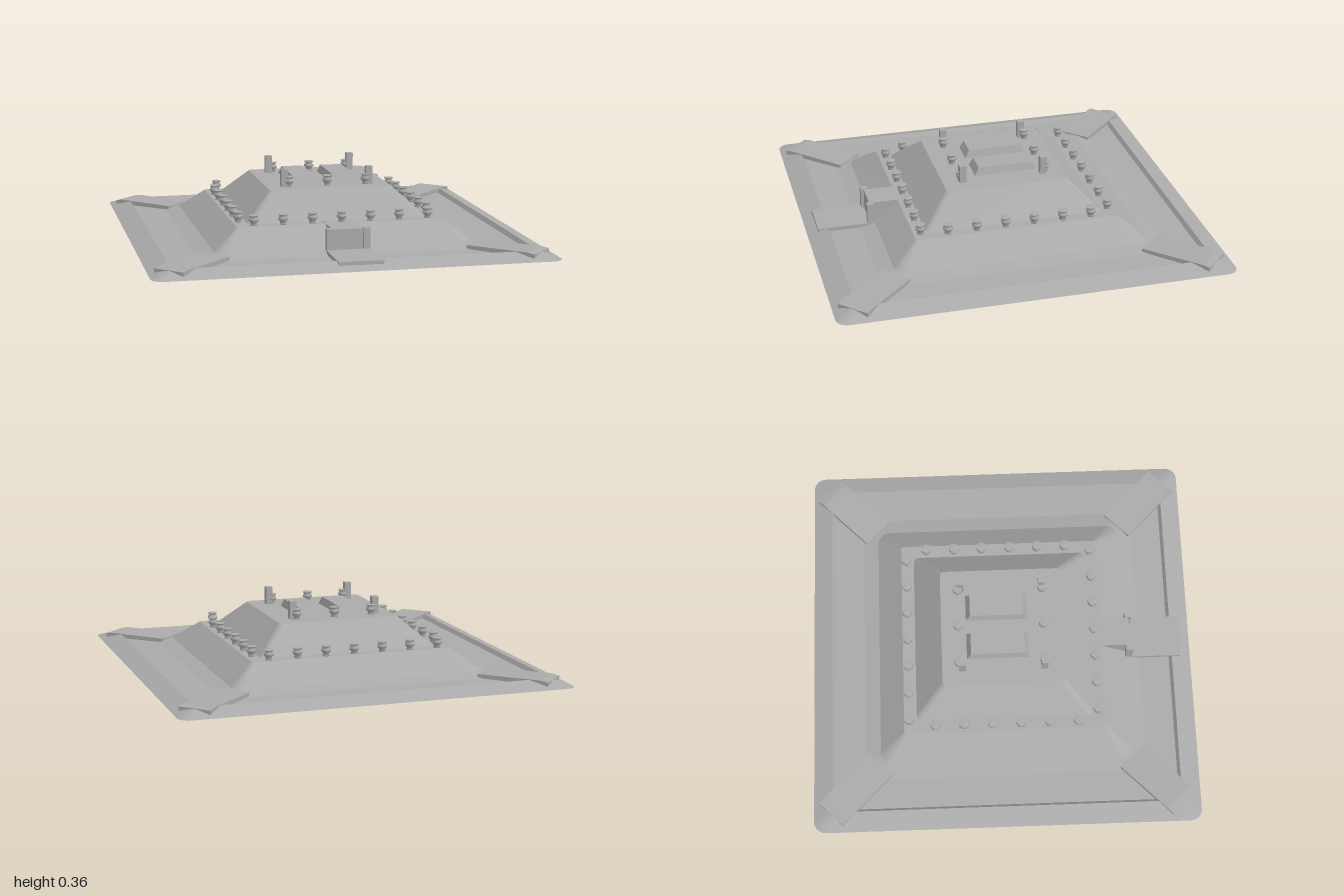
import * as THREE from 'three';

const stone = new THREE.MeshStandardMaterial({ color: 0xaaaaaa, side: THREE.DoubleSide });
stone.name = 'grey stone';
const earth = new THREE.MeshStandardMaterial({ color: 0x625c50, side: THREE.DoubleSide });
earth.name = 'dark earth';

// Rounded square outline: half width h, height y, corner radius r
const SEG = 5;
function outline([h, y, r]) {
  const pts = [];
  for (let q = 0; q < 4; q++) {
    const mid = (q + 0.5) * Math.PI / 2;
    const cx = Math.sign(Math.cos(mid)) * (h - r), cz = Math.sign(Math.sin(mid)) * (h - r);
    for (let i = 0; i <= SEG; i++) {
      const a = (q + i / SEG) * Math.PI / 2;
      pts.push([cx + r * Math.cos(a), y, cz + r * Math.sin(a)]);
    }
  }
  return pts;
}

// Sloping or flat band between two outlines (outer first)
function band(outer, inner) {
  const a = outline(outer), b = outline(inner), n = a.length, idx = [];
  for (let i = 0; i < n; i++) {
    const j = (i + 1) % n;
    idx.push(i, n + i, j, j, n + i, n + j);
  }
  const g = new THREE.BufferGeometry();
  g.setAttribute('position', new THREE.Float32BufferAttribute([...a, ...b].flat(), 3));
  g.setIndex(idx);
  g.computeVertexNormals();
  return g;
}

function add(parent, name, geo, x = 0, y = 0, z = 0, mat = stone) {
  const m = new THREE.Mesh(geo, mat);
  m.name = name;
  m.position.set(x, y, z);
  parent.add(m);
  return m;
}

function box(parent, name, x0, x1, y0, y1, z0, z1) {
  return add(parent, name, new THREE.BoxGeometry(x1 - x0, y1 - y0, z1 - z0),
    (x0 + x1) / 2, (y0 + y1) / 2, (z0 + z1) / 2);
}

export function createModel() {
  const model = new THREE.Group();
  model.name = 'steppedFort';

  // Open shell: bank, ditch, lower wall, terrace, upper wall, roof
  const levels = [
    [1, 0, 0.06], [0.9, 0.035, 0.015], [0.885, 0.014, 0.012], [0.73, 0.016, 0.06],
    [0.65, 0.035, 0.06], [0.522, 0.135, 0.012], [0.456, 0.135, 0.03], [0.315, 0.272, 0.025], [0.03, 0.272, 0.025],
  ];
  const names = ['outerBank', 'ditchEdge', 'ditchFloor', 'wallFoot', 'lowerWall', 'terrace', 'upperWall', 'roof'];
  names.forEach((name, i) => add(model, name, band(levels[i], levels[i + 1])));
  box(model, 'roofCentre', -0.03, 0.03, 0.27, 0.272, -0.03, 0.03);
  add(model, 'ditchUnderside', band([0.89, 0.01, 0.012], [0.72, 0.01, 0.06]), 0, 0, 0, earth);

  // Corner planks lying across the ditch
  const side = new THREE.Shape();
  [[0.92, 0.008], [0.92, 0.036], [1.25, 0.038], [1.287, 0.032], [1.287, 0.004]]
    .forEach(([u, v], i) => (i ? side.lineTo(u, v) : side.moveTo(u, v)));
  const plank = new THREE.ExtrudeGeometry(side, { depth: 0.17, bevelEnabled: false });
  plank.translate(0, 0, -0.085);
  for (let i = 0; i < 4; i++) {
    add(model, 'cornerPlank', plank).rotation.y = Math.PI / 4 + i * Math.PI / 2;
  }

  // Urns around the terrace and on the roof
  const urn = new THREE.LatheGeometry([
    [0, 0], [0.017, 0], [0.017, 0.006], [0.013, 0.01], [0.025, 0.026], [0.024, 0.034],
    [0.016, 0.042], [0.024, 0.049], [0.024, 0.053], [0, 0.053],
  ].map(([r, y]) => new THREE.Vector2(r, y)), 14);
  const step = 0.148;
  for (let i = 0; i < 7; i++) {
    add(model, 'terraceUrn', urn, -0.432 + i * step, 0.134, 0.485);
    add(model, 'terraceUrn', urn, -0.459 + i * step, 0.134, -0.494);
    if (i === 6) continue;
    add(model, 'terraceUrn', urn, -0.492, 0.134, -0.36 + i * step);
    add(model, 'terraceUrn', urn, 0.487, 0.134, -0.388 + i * step);
  }
  for (const z of [-0.225, 0.217]) {
    for (const x of [-0.2, 0, 0.2]) add(model, 'roofUrn', urn, x, 0.271, z);
    // Square posts beside the outer urns
    for (const x of [-0.224, 0.218]) {
      const c = z < 0 ? -0.21 : 0.213;
      box(model, 'roofPost', x - 0.017, x + 0.017, 0.27, 0.363, c - 0.017, c + 0.017);
    }
  }

  // Raised roof blocks, narrowing towards the top
  for (const x of [-0.105, 0.105]) {
    const g = new THREE.BoxGeometry(0.138, 0.04, 0.322).toNonIndexed();
    const p = g.attributes.position;
    for (let i = 0; i < p.count; i++) {
      if (p.getY(i) > 0) p.setXYZ(i, p.getX(i) * 0.83, p.getY(i), p.getZ(i) * 0.86);
    }
    g.computeVertexNormals();
    add(model, 'roofBlock', g, x, 0.291, -0.025);
  }

  // Front entrance: walkway, gate posts and lowered bridge
  box(model, 'walkway', -0.077, 0.077, 0.03, 0.136, 0.448, 0.672);
  for (const s of [-1, 1]) {
    const post = box(model, 'gatePost', 0.076, 0.108, 0.02, 0.141, 0.652, 0.688);
    post.position.x *= s;
  }
  box(model, 'bridge', -0.11, 0.11, 0.018, 0.037, 0.68, 0.945);
  return model;
}
